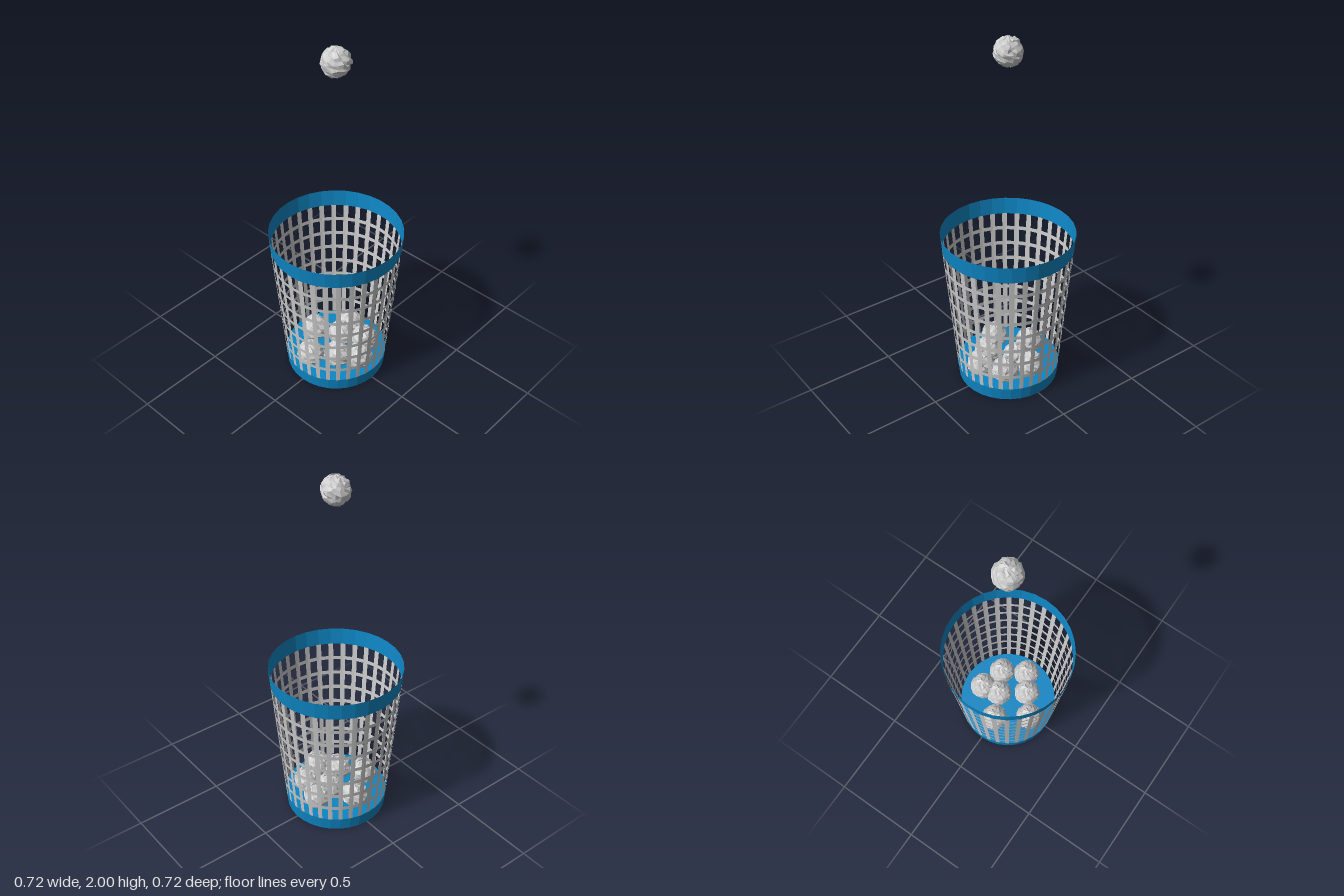
import * as THREE from 'three';
import { mergeVertices } from 'three/addons/utils/BufferGeometryUtils.js';

const SIDES = 32;
const HEIGHT = 0.915, BAND_TOP = 0.075, RIM_BOTTOM = 0.82;

// Radius of the tapered basket wall at height y
const wallRadius = (y) => 0.279 + (0.083 * y) / HEIGHT;

// Sheet of the conical wall between two heights, centred on an angle
function wallSheet(y0, y1, segments = SIDES, start = 0, length = Math.PI * 2) {
  const g = new THREE.CylinderGeometry(
    wallRadius(y1), wallRadius(y0), y1 - y0, segments, 1, true, start, length);
  return g.translate(0, (y0 + y1) / 2, 0);
}

// Small seeded random generator
function seeded(seed) {
  return () => {
    seed = (seed * 1664525 + 1013904223) % 4294967296;
    return seed / 4294967296;
  };
}

// Crumpled paper ball: a sphere whose welded corners are pushed about
function crumpledBall() {
  const sphere = new THREE.SphereGeometry(0.075, 20, 14);
  sphere.deleteAttribute('normal');
  sphere.deleteAttribute('uv');
  const g = mergeVertices(sphere, 1e-4);
  const rand = seeded(7);
  const p = g.attributes.position;
  const v = new THREE.Vector3();
  for (let i = 0; i < p.count; i++) {
    v.fromBufferAttribute(p, i);
    v.x += (rand() - 0.5) * 0.014;
    v.y += (rand() - 0.5) * 0.014;
    v.z += (rand() - 0.5) * 0.014;
    v.setLength(0.069 + rand() * 0.0115);
    p.setXYZ(i, v.x, v.y, v.z);
  }
  g.computeVertexNormals();
  return g;
}

export function createModel() {
  const model = new THREE.Group();
  const blue = new THREE.MeshStandardMaterial({
    color: 0x0e86c4, flatShading: true, side: THREE.DoubleSide });
  const grey = new THREE.MeshStandardMaterial({
    color: 0xcccccc, flatShading: true, side: THREE.DoubleSide });

  const add = (parent, name, geometry, material) => {
    const mesh = new THREE.Mesh(geometry, material);
    mesh.name = name;
    parent.add(mesh);
    return mesh;
  };

  // Solid base and thin top rim
  const base = new THREE.CylinderGeometry(wallRadius(BAND_TOP), wallRadius(0), BAND_TOP, SIDES);
  add(model, 'base', base.translate(0, BAND_TOP / 2, 0), blue);
  add(model, 'rim', wallSheet(RIM_BOTTOM, HEIGHT), blue);

  // Upright ribs, one on each corner of the wall
  const lattice = new THREE.Group();
  lattice.name = 'lattice';
  model.add(lattice);
  const ribAngle = 0.08;
  const rib = wallSheet(BAND_TOP, RIM_BOTTOM, 2, -ribAngle / 2, ribAngle);
  for (let i = 0; i < SIDES; i++) {
    add(lattice, 'rib', rib, grey).rotation.y = (i / SIDES) * Math.PI * 2;
  }

  // Horizontal hoops
  for (let i = 0; i < 7; i++) {
    const y = 0.164 + i * 0.0945;
    add(lattice, 'hoop', wallSheet(y - 0.011, y + 0.011), grey);
  }

  // Paper balls: seven in the basket and one in the air above it
  const ball = crumpledBall();
  const spots = [
    [-0.01, -0.157], [-0.177, -0.033], [0.16, -0.033], [0.057, -0.013],
    [-0.082, 0.085], [0.12, 0.11], [-0.01, 0.185],
  ];
  for (const [x, z] of spots) add(model, 'paperBall', ball, grey).position.set(x, 0.116, z);
  add(model, 'fallingPaperBall', ball, grey).position.set(0, 1.92, 0);

  return model;
}
